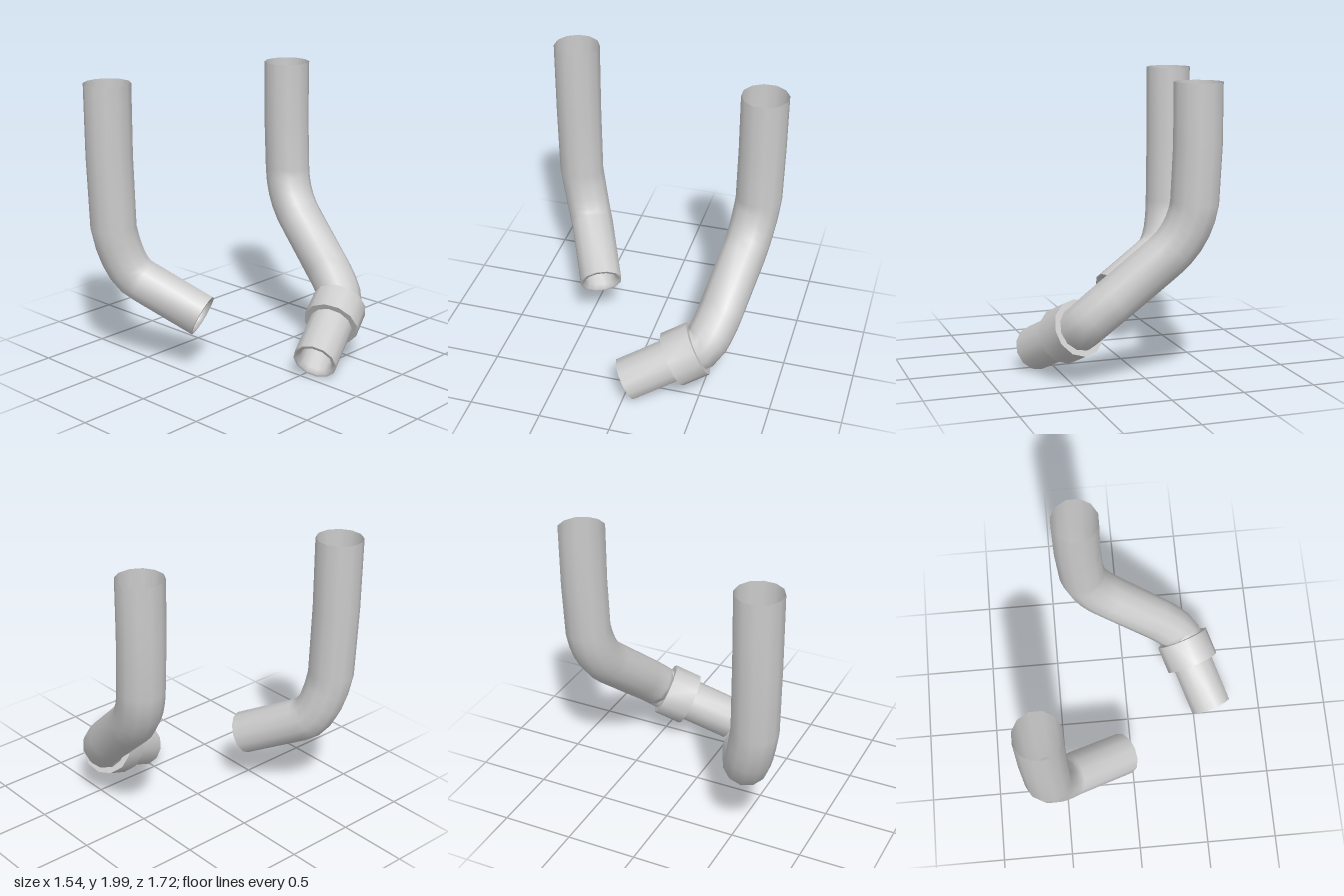
import * as THREE from 'three';

const SIDES = 12;
const V = (x, y, z) => new THREE.Vector3(x, y, z);

// Skin over rings { p: centre, t: axis direction, r: radius }; repeated rings make a sharp edge
function sweep(name, rings) {
  const pos = [], index = [];
  const u = V(1, 0, 0);
  let prev = V(0, -1, 0);
  rings.forEach(({ p, t, r }, k) => {
    u.applyQuaternion(new THREE.Quaternion().setFromUnitVectors(prev, t));
    prev = t;
    const v = t.clone().cross(u);
    for (let i = 0; i < SIDES; i++) {
      const a = ((i + 0.5) / SIDES) * Math.PI * 2;
      const q = p.clone().addScaledVector(u, r * Math.cos(a)).addScaledVector(v, r * Math.sin(a));
      pos.push(q.x, q.y, q.z);
    }
    const last = rings[k - 1];
    if (!last || (last.r === r && last.p.equals(p))) return;
    for (let i = 0; i < SIDES; i++) {
      const j = (i + 1) % SIDES, a = (k - 1) * SIDES, b = k * SIDES;
      index.push(a + i, a + j, b + i, a + j, b + j, b + i);
    }
  });
  const geo = new THREE.BufferGeometry();
  geo.setAttribute('position', new THREE.Float32BufferAttribute(pos, 3));
  geo.setIndex(index);
  geo.computeVertexNormals();
  const mesh = new THREE.Mesh(geo, new THREE.MeshStandardMaterial({ color: 0xcccccc, side: THREE.DoubleSide }));
  mesh.name = name;
  return mesh;
}

// Bent pipe, open at the top, with a thick lip at the lower end
function pipe(name, points, radius, endRadius) {
  const rings = points.map((p, i) => {
    const a = points[Math.max(i - 1, 0)], b = points[Math.min(i + 1, points.length - 1)];
    const t = i === 0 ? V(0, -1, 0) : b.clone().sub(a).normalize();
    return { p, t, r: THREE.MathUtils.lerp(radius, endRadius, i / (points.length - 1)) };
  });
  const { p, t } = rings[rings.length - 1];
  const back = (d) => p.clone().addScaledVector(t, -d);
  rings.push(
    { p, t, r: endRadius },
    { p, t, r: endRadius * 0.86 },
    { p: back(0.03), t, r: endRadius * 0.74 },
    { p: back(0.25), t, r: endRadius * 0.72 }
  );
  return sweep(name, rings);
}

const bend = (a, c, b, n = 5) => new THREE.QuadraticBezierCurve3(a, c, b).getPoints(n);

export function createModel() {
  const group = new THREE.Group();

  // Plain pipe with a single bend
  group.add(pipe('frontPipe', [
    V(-0.615, 2, 0.705), V(-0.615, 1.5, 0.705),
    ...bend(V(-0.605, 1.0, 0.695), V(-0.58, 0.67, 0.64), V(-0.45, 0.61, 0.568)),
    V(-0.06, 0.405, 0.385),
  ], 0.161, 0.151));

  // Pipe with two bends
  const elbow = V(0.44, 0.4, -0.5), tip = V(0.625, 0.145, -0.005);
  group.add(pipe('rearPipe', [
    V(-0.28, 2, -0.708), V(-0.28, 1.6, -0.708),
    ...bend(V(-0.262, 1.22, -0.705), V(-0.235, 1.0, -0.685), V(-0.07, 0.86, -0.653)),
    ...bend(V(0.24, 0.59, -0.58), V(0.36, 0.49, -0.555), elbow),
    tip,
  ], 0.161, 0.153));

  // Collar clamped around the lower leg of the rear pipe
  const t = tip.clone().sub(elbow).normalize();
  const centre = V(0.48, 0.345, -0.39);
  const profile = [[-0.1, 0.145], [-0.1, 0.195], [-0.1, 0.195], [0.1, 0.195], [0.1, 0.195], [0.1, 0.145]];
  group.add(sweep('collar', profile.map(([d, r]) => ({ p: centre.clone().addScaledVector(t, d), t, r }))));

  return group;
}
